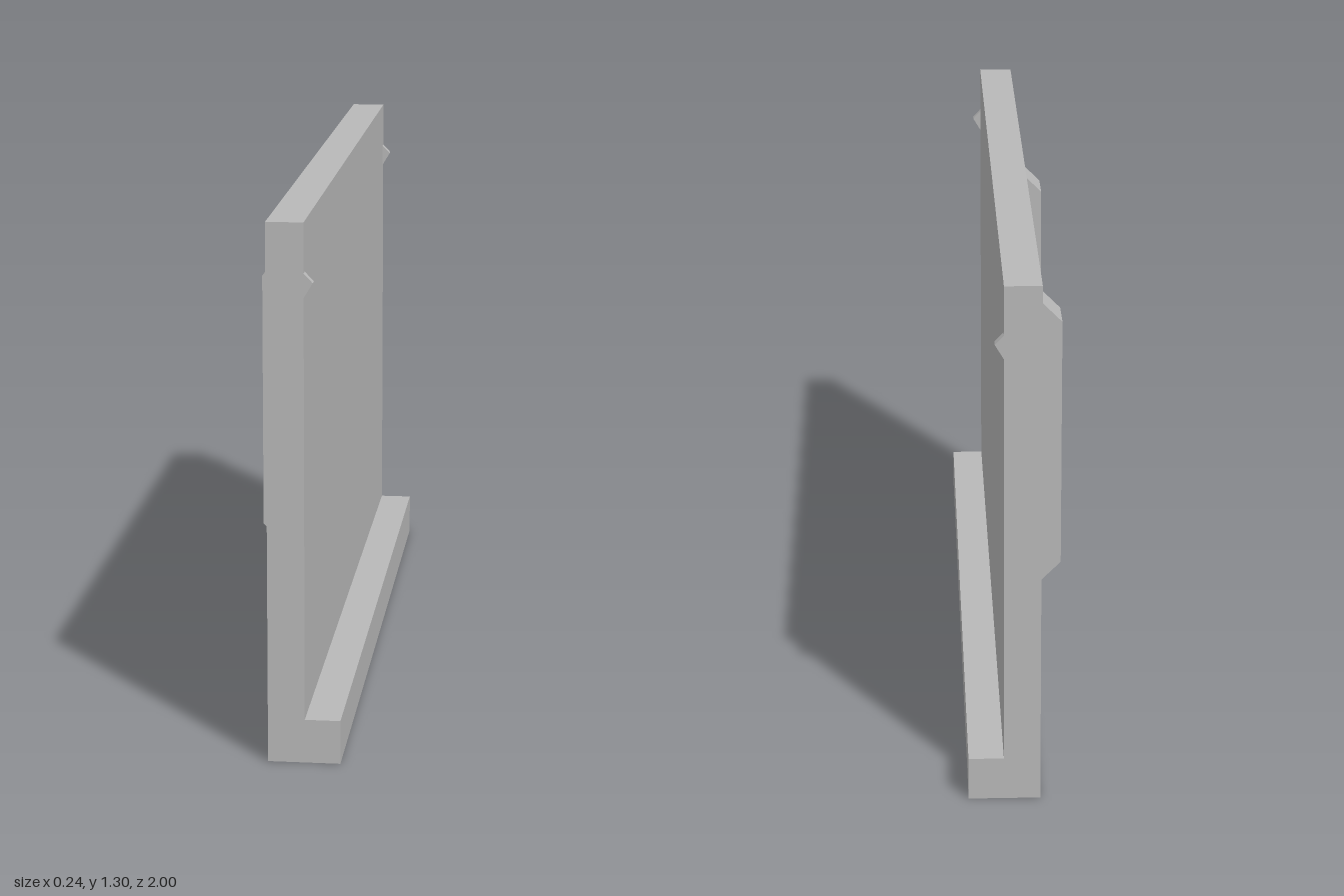
import * as THREE from 'three';

export function createModel() {
  const group = new THREE.Group();
  const grey = new THREE.MeshStandardMaterial({ color: 0xb8b8b8 });
  grey.name = 'grey';

  // Extrudes an x-y profile from z0 to z1
  function addProfile(name, points, z0, z1) {
    const shape = new THREE.Shape(points.map(([x, y]) => new THREE.Vector2(x, y)));
    const geometry = new THREE.ExtrudeGeometry(shape, { depth: z1 - z0, bevelEnabled: false });
    geometry.translate(0, 0, z0);
    const mesh = new THREE.Mesh(geometry, grey);
    mesh.name = name;
    group.add(mesh);
  }

  // Upright panel with the ledge along its foot
  addProfile('panelWithLedge', [
    [-0.056, 0], [0.117, 0], [0.117, 0.107], [0.032, 0.107], [0.032, 1.3], [-0.056, 1.3],
  ], -1, 1);

  // Hanging ribs with sloped ends on the back of the panel
  const rib = [[-0.056, 0.397], [-0.056, 1.155], [-0.121, 1.09], [-0.121, 0.462]];
  addProfile('rearRib', rib, -0.642, -0.535);
  addProfile('frontRib', rib, 0.456, 0.568);

  // Small wedge catches at both ends
  const latch = [[0.032, 1.125], [0.053, 1.16], [0.032, 1.182]];
  addProfile('rearCatch', latch, -1, -0.976);
  addProfile('frontCatch', latch, 0.976, 1);

  return group;
}
